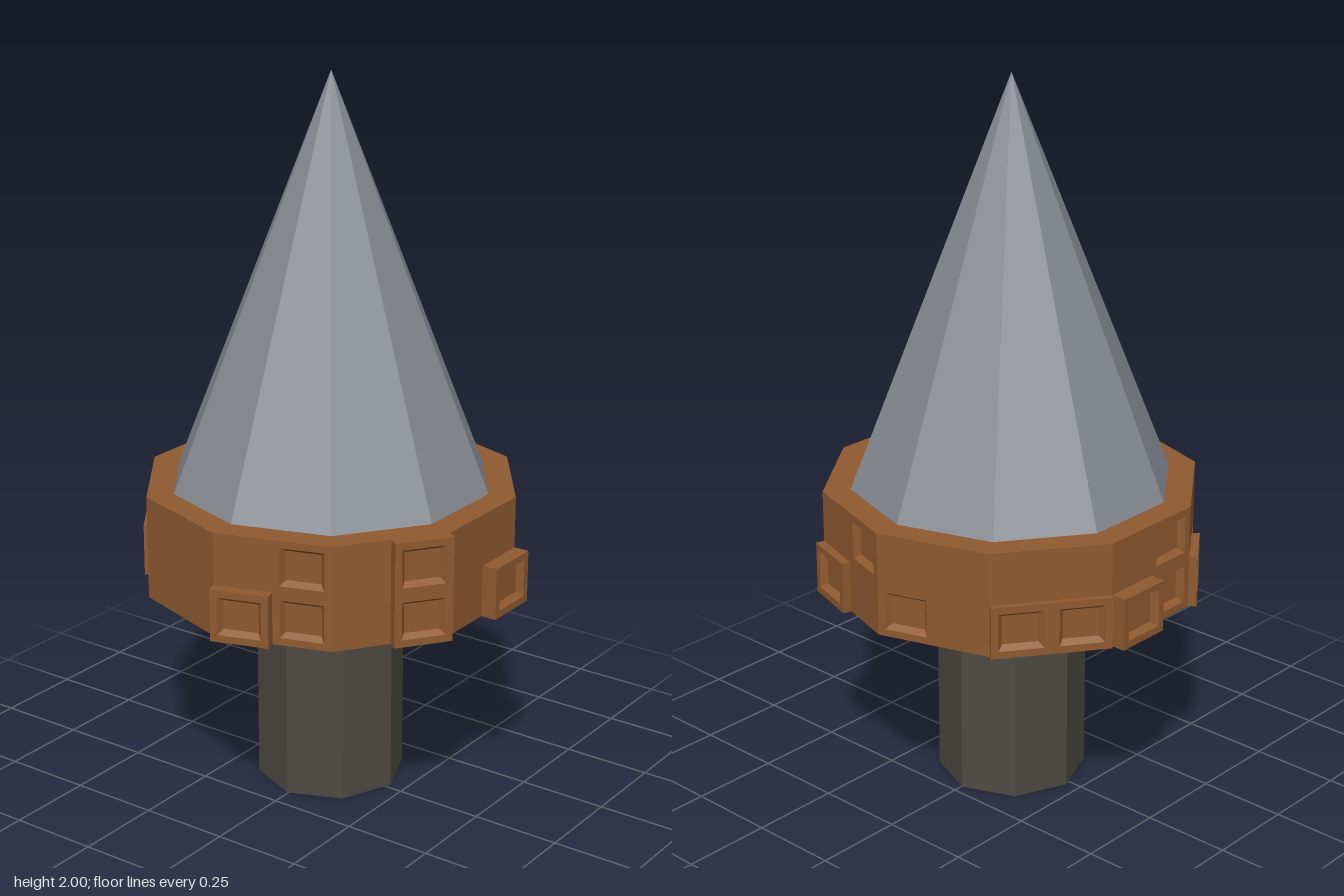
import * as THREE from 'three';

const SIDES = 10, RING_R = 0.52, RING_Y0 = 0.59, RING_Y1 = 0.88;

// Framed cells of the collar: [face, column, row, how far the cell stands out]
const CELLS = [
  [0, 0, 0, 0.032], [0, 1, 0, 0], [0, 1, 1, 0],
  [1, 1, 0, 0.031], [1, 1, 1, 0.031],
  [2, 1, 0, 0.044],
  [4, 0, 0, 0.024], [4, 1, 1, 0],
  [5, 0, 0, 0],
  [6, 0, 0, 0.015], [6, 1, 0, 0.015],
  [7, 0, 0, 0.043], [7, 1, 0, 0], [7, 1, 1, 0],
  [8, 0, 0, 0.023], [8, 1, 0, 0],
];

// Collar wall: each face is a 2 x 2 grid of cells, plain or raised with a sunken panel
function collarWall() {
  const pos = [];
  const quad = (a, b, c, d) => {
    for (const p of [a, b, c, a, c, d]) pos.push(p.x, p.y, p.z);
  };
  const bridge = (p, q) => {
    for (let i = 0; i < 4; i++) {
      const j = (i + 1) % 4;
      quad(p[i], p[j], q[j], q[i]);
    }
  };
  const step = (Math.PI * 2) / SIDES;
  const half = RING_R * Math.sin(step / 2), apothem = RING_R * Math.cos(step / 2);
  const rowH = (RING_Y1 - RING_Y0) / 2;

  for (let f = 0; f < SIDES; f++) {
    const angle = (f + 0.5) * step;
    for (let col = 0; col < 2; col++) {
      for (let row = 0; row < 2; row++) {
        // Corners of the cell, shrunk by inset and moved out by lift
        const corners = (inset, lift) => {
          const x0 = (col - 1) * half + inset, x1 = col * half - inset;
          const y0 = RING_Y0 + row * rowH + inset, y1 = RING_Y0 + (row + 1) * rowH - inset;
          return [[x0, y0], [x1, y0], [x1, y1], [x0, y1]].map(([x, y]) =>
            new THREE.Vector3(x, y, apothem + lift).applyAxisAngle(THREE.Object3D.DEFAULT_UP, angle));
        };
        const base = corners(0, 0);
        const cell = CELLS.find(c => c[0] === f && c[1] === col && c[2] === row);
        if (!cell) {
          quad(...base);
          continue;
        }
        const lift = cell[3];
        const outer = corners(0, lift), rim = corners(0.02, lift), panel = corners(0.032, lift - 0.018);
        if (lift > 0) bridge(base, outer);
        bridge(outer, rim);
        bridge(rim, panel);
        quad(...panel);
      }
    }
  }
  const geo = new THREE.BufferGeometry();
  geo.setAttribute('position', new THREE.Float32BufferAttribute(pos, 3));
  geo.computeVertexNormals();
  return geo;
}

export function createModel() {
  const model = new THREE.Group();
  model.name = 'spike';
  const material = (name, color) => {
    const m = new THREE.MeshStandardMaterial({ color, flatShading: true });
    m.name = name;
    return m;
  };
  const steel = material('grey steel', 0x888c94);
  const copper = material('brown copper', 0x8f5a30);
  const iron = material('dark iron', 0x4e4a43);

  const add = (parent, name, geo, mat, y = 0) => {
    const mesh = new THREE.Mesh(geo, mat);
    mesh.name = name;
    mesh.position.y = y;
    parent.add(mesh);
  };

  const body = new THREE.Group();
  body.name = 'body';
  body.position.set(-0.003, 0, -0.016);
  model.add(body);

  // Eight-sided shaft
  add(body, 'shaft', new THREE.CylinderGeometry(0.207, 0.207, RING_Y0, 8), iron, RING_Y0 / 2);

  // Ten-sided collar with its caps
  const collar = new THREE.Group();
  collar.name = 'collar';
  body.add(collar);
  add(collar, 'collarWall', collarWall(), copper);
  for (const [name, y, turn] of [['collarTop', RING_Y1, -1], ['collarBottom', RING_Y0, 1]]) {
    const cap = new THREE.CircleGeometry(RING_R, SIDES, Math.PI / 2).rotateX(turn * Math.PI / 2);
    add(collar, name, cap, copper, y);
  }

  // Ten-sided pointed tip
  const tipH = 2 - RING_Y1;
  add(body, 'tip', new THREE.ConeGeometry(0.444, tipH, SIDES, 1, true), steel, RING_Y1 + tipH / 2);

  return model;
}
